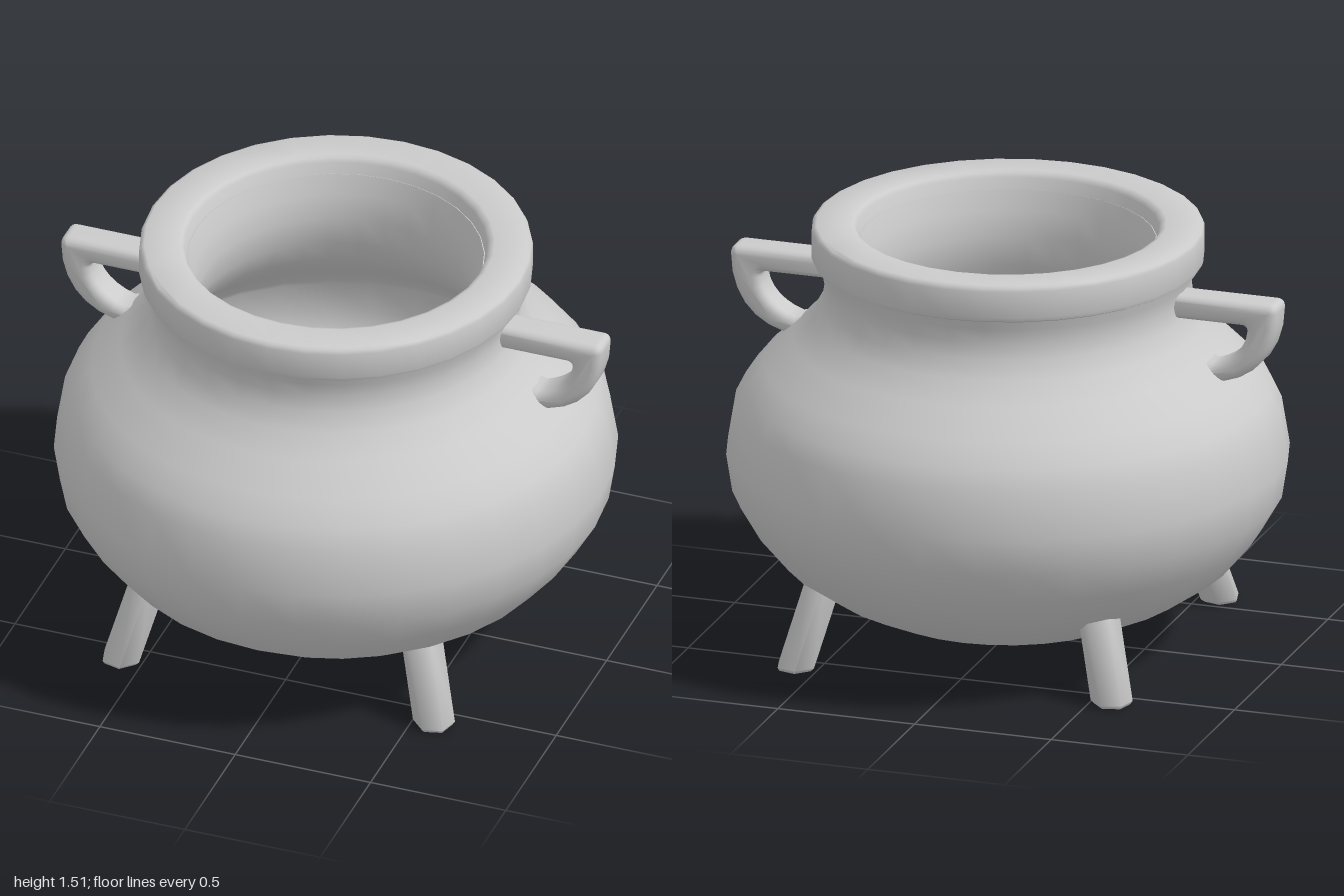
import * as THREE from 'three';
import { toCreasedNormals } from 'three/addons/utils/BufferGeometryUtils.js';

const WALL = 0.16;
const material = new THREE.MeshStandardMaterial({ color: 0xcccccc });

function addMesh(parent, name, geometry, crease) {
  const mesh = new THREE.Mesh(toCreasedNormals(geometry, crease), material);
  mesh.name = name;
  parent.add(mesh);
  return mesh;
}

function lathe(points, sides, phiStart = 0) {
  return new THREE.LatheGeometry(points.map(([r, y]) => new THREE.Vector2(r, y)), sides, phiStart);
}

// Inner side of a wall: each profile point moved inwards, square to the profile
function insetProfile(points, distance) {
  return points.map(([r, y], i) => {
    const [r0, y0] = points[Math.max(i - 1, 0)];
    const [r1, y1] = points[Math.min(i + 1, points.length - 1)];
    const length = Math.hypot(r1 - r0, y1 - y0);
    return [
      i === 0 ? 0 : r - distance * (y1 - y0) / length,
      y + distance * (r1 - r0) / length,
    ];
  });
}

export function createModel() {
  const model = new THREE.Group();
  model.name = 'cauldron';

  // Round-bellied pot of even thickness: outside going up, cavity going down
  const outside = [
    [0, 0.052], [0.15, 0.06], [0.31, 0.082], [0.48, 0.125], [0.64, 0.2], [0.785, 0.3],
    [0.885, 0.42], [0.957, 0.545], [0.978, 0.68], [0.95, 0.85], [0.915, 0.92], [0.85, 1.0],
    [0.75, 1.09], [0.68, 1.165], [0.645, 1.23], [0.636, 1.29], [0.645, 1.34], [0.665, 1.4],
  ];
  const cavity = insetProfile(outside, WALL).reverse();
  addMesh(model, 'pot', lathe([...outside, ...cavity], 32), 0.75);

  // Heavy collar with softened edges
  addMesh(model, 'rim', lathe([
    [0.5, 1.375], [0.665, 1.375], [0.677, 1.381], [0.682, 1.395], [0.682, 1.49], [0.677, 1.503],
    [0.665, 1.51], [0.55, 1.51], [0.535, 1.505], [0.525, 1.49], [0.5, 1.375],
  ], 32), 0.75);

  // D-shaped side handles with both ends sunk into the pot wall
  const outline = new THREE.Shape();
  outline.moveTo(0.58, 1.33);
  outline.lineTo(0.97, 1.33);
  outline.quadraticCurveTo(1.0, 1.33, 1.0, 1.3);
  outline.bezierCurveTo(1.0, 1.16, 0.93, 1.06, 0.8, 1.03);
  outline.lineTo(0.72, 1.03);
  outline.lineTo(0.7, 1.11);
  outline.lineTo(0.76, 1.09);
  outline.bezierCurveTo(0.83, 1.11, 0.885, 1.16, 0.89, 1.225);
  outline.quadraticCurveTo(0.89, 1.245, 0.87, 1.245);
  outline.lineTo(0.58, 1.245);
  outline.closePath();
  const handle = new THREE.ExtrudeGeometry(outline, {
    depth: 0.07, bevelSize: 0.03, bevelThickness: 0.03, bevelOffset: -0.03,
    bevelSegments: 4, curveSegments: 6,
  });
  handle.translate(0, 0, -0.035);
  addMesh(model, 'leftHandle', handle, 0.75);
  addMesh(model, 'rightHandle', handle, 0.75).rotation.y = Math.PI;

  // Four splayed six-sided legs on the diagonals, sheared so the soles stay flat
  const leg = lathe([[0, 0], [0.062, 0], [0.073, 0.012], [0.073, 0.34], [0, 0.34]], 6, Math.PI / 2);
  const position = leg.attributes.position;
  for (let i = 0; i < position.count; i++) {
    position.setX(i, position.getX(i) + 0.82 - 0.36 * position.getY(i));
  }
  ['frontLeft', 'backLeft', 'backRight', 'frontRight'].forEach((corner, i) => {
    addMesh(model, corner + 'Leg', leg, 1.2).rotation.y = -Math.PI / 4 + i * Math.PI / 2;
  });

  return model;
}
